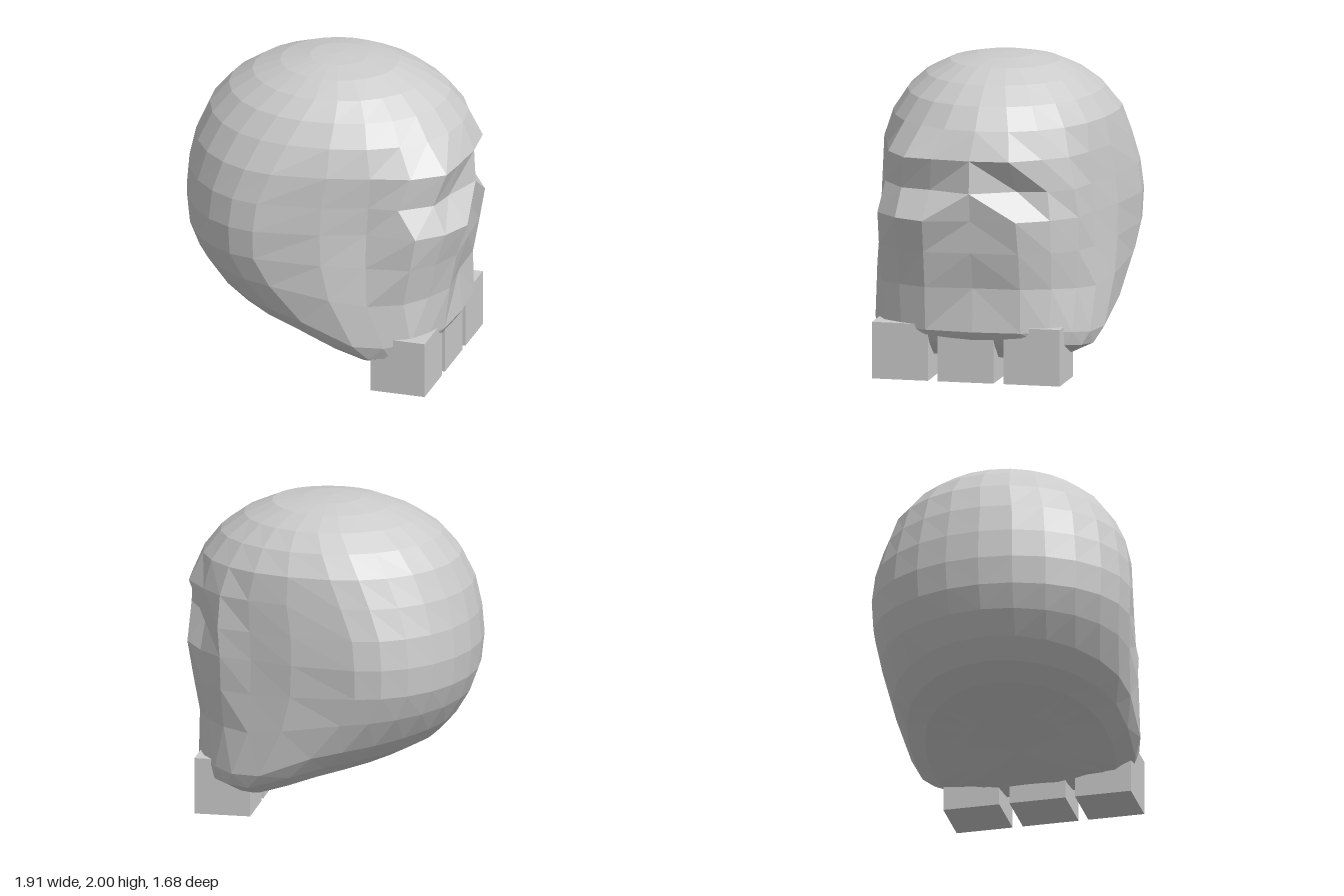
import * as THREE from 'three';

const SIDES = 24;

// Tilted rings, crown to jaw: back x, back y, front x, front y, half width, x of widest point, squareness of face, jaw dip
const RINGS = [
  [-0.18, 1.99, 0.19, 1.99, 0.18, 0, 2, 0],
  [-0.37, 1.95, 0.39, 1.96, 0.35, 0, 2, 0],
  [-0.55, 1.88, 0.57, 1.88, 0.50, 0, 2, 0],
  [-0.70, 1.78, 0.72, 1.77, 0.62, -0.05, 2.1, 0],
  [-0.82, 1.64, 0.83, 1.63, 0.715, -0.12, 2.2, 0],
  [-0.90, 1.46, 0.91, 1.45, 0.78, -0.2, 2.4, 0],
  [-0.94, 1.27, 0.92, 1.24, 0.82, -0.28, 2.5, 0],
  [-0.955, 1.08, 0.89, 1.06, 0.84, -0.3, 2.6, 0],
  [-0.935, 0.90, 0.87, 0.85, 0.83, -0.3, 2.7, 0.02],
  [-0.88, 0.75, 0.81, 0.62, 0.805, -0.2, 2.8, 0.06],
  [-0.79, 0.60, 0.83, 0.34, 0.765, 0, 3, 0.1],
  [-0.68, 0.48, 0.77, 0.26, 0.71, 0.15, 3.3, 0.09],
  [-0.52, 0.40, 0.66, 0.17, 0.60, 0.18, 2.8, 0.06],
  [-0.22, 0.31, 0.48, 0.15, 0.33, 0.12, 2.2, 0.05],
];

// Face modelling: forward shift of the columns beside the middle, [left side], [right side]
const FACE = {
  5: [[0.01, 0.08, 0.04], [0.01, -0.03, -0.01]],    // brow
  6: [[-0.06, 0.0, -0.03], [-0.12, -0.05, 0.0]],    // eye sockets
  7: [[0.1, 0.11, 0.11], [0.03, 0.0, 0.0]],         // cheekbones
  8: [[0.05, 0.06, 0.08], [0.01, 0.0, 0.0]],
  9: [[0.06, 0.05, 0.05], [0.02, 0.01, 0.0]],
  10: [[0.0, 0.0, 0.02], [0.0, -0.01, -0.01]],      // chin
};

// Hollow temples: how far each ring is drawn in behind the face, [left side, right side]
const TEMPLE = { 5: [0.06, 0.04], 6: [0.11, 0.07], 7: [0.13, 0.08], 8: [0.09, 0.06], 9: [0.03, 0.02] };

function ringPoint(row, j) {
  const [bx, by, fx, fy, width, mid, square, dip] = RINGS[row];
  const t = (j / SIDES) * Math.PI * 2;
  const c = Math.cos(t), s = Math.sin(t);
  const power = c > 0 ? 2 / square : 1;
  const reach = c > 0 ? fx - mid : mid - bx;
  let x = mid + Math.sign(c) * Math.pow(Math.abs(c), power) * reach;
  let z = Math.sign(s) * Math.pow(Math.abs(s), power) * width;
  let y = by + ((fy - by) * (x - bx)) / (fx - bx);
  y -= dip * Math.exp(-Math.pow((x - 0.38) / 0.28, 2));
  const column = Math.min(j, SIDES - j);
  const side = j < SIDES / 2 ? 0 : 1;
  if (FACE[row] && column >= 1 && column <= 3) x += FACE[row][side][column - 1];
  if (TEMPLE[row] && column === 4) z *= 1 - TEMPLE[row][side];
  if (TEMPLE[row] && column === 5) z *= 1 - TEMPLE[row][side] * 0.55;
  if (row < 5) z -= 0.02; // crown leans a little to the right
  return [x, y, z];
}

function createSkullGeometry() {
  const positions = [0, 2, -0.02];
  const index = [];
  const at = (i, j) => 1 + i * SIDES + (j % SIDES);
  const last = RINGS.length - 1;
  for (let i = 0; i <= last; i++) {
    for (let j = 0; j < SIDES; j++) positions.push(...ringPoint(i, j));
  }
  const bottom = positions.length / 3;
  positions.push(0.12, 0.2, 0);
  for (let j = 0; j < SIDES; j++) {
    index.push(0, at(0, j + 1), at(0, j));
    for (let i = 0; i < last; i++) {
      const a = at(i, j), b = at(i, j + 1), c = at(i + 1, j), d = at(i + 1, j + 1);
      // Mirrored diagonals on the two halves
      if (j < SIDES / 2) index.push(a, b, d, a, d, c);
      else index.push(a, b, c, b, d, c);
    }
    index.push(at(last, j), at(last, j + 1), bottom);
  }
  const geometry = new THREE.BufferGeometry();
  geometry.setAttribute('position', new THREE.Float32BufferAttribute(positions, 3));
  geometry.setIndex(index);
  geometry.computeVertexNormals();
  return geometry;
}

export function createModel() {
  const model = new THREE.Group();
  model.name = 'skull';
  const material = new THREE.MeshStandardMaterial({ color: 0xcccccc, flatShading: true });

  // Cranium, face and jaw in one faceted shell
  const head = new THREE.Mesh(createSkullGeometry(), material);
  head.name = 'cranium';
  model.add(head);

  // Three block teeth under the front of the jaw
  const teeth = new THREE.Group();
  teeth.name = 'teeth';
  for (const z of [0.48, 0.052, -0.38]) {
    const tooth = new THREE.Mesh(new THREE.BoxGeometry(0.36, 0.365, 0.365), material);
    tooth.name = 'tooth';
    tooth.position.set(0.61, 0.1825, z);
    teeth.add(tooth);
  }
  model.add(teeth);
  return model;
}
